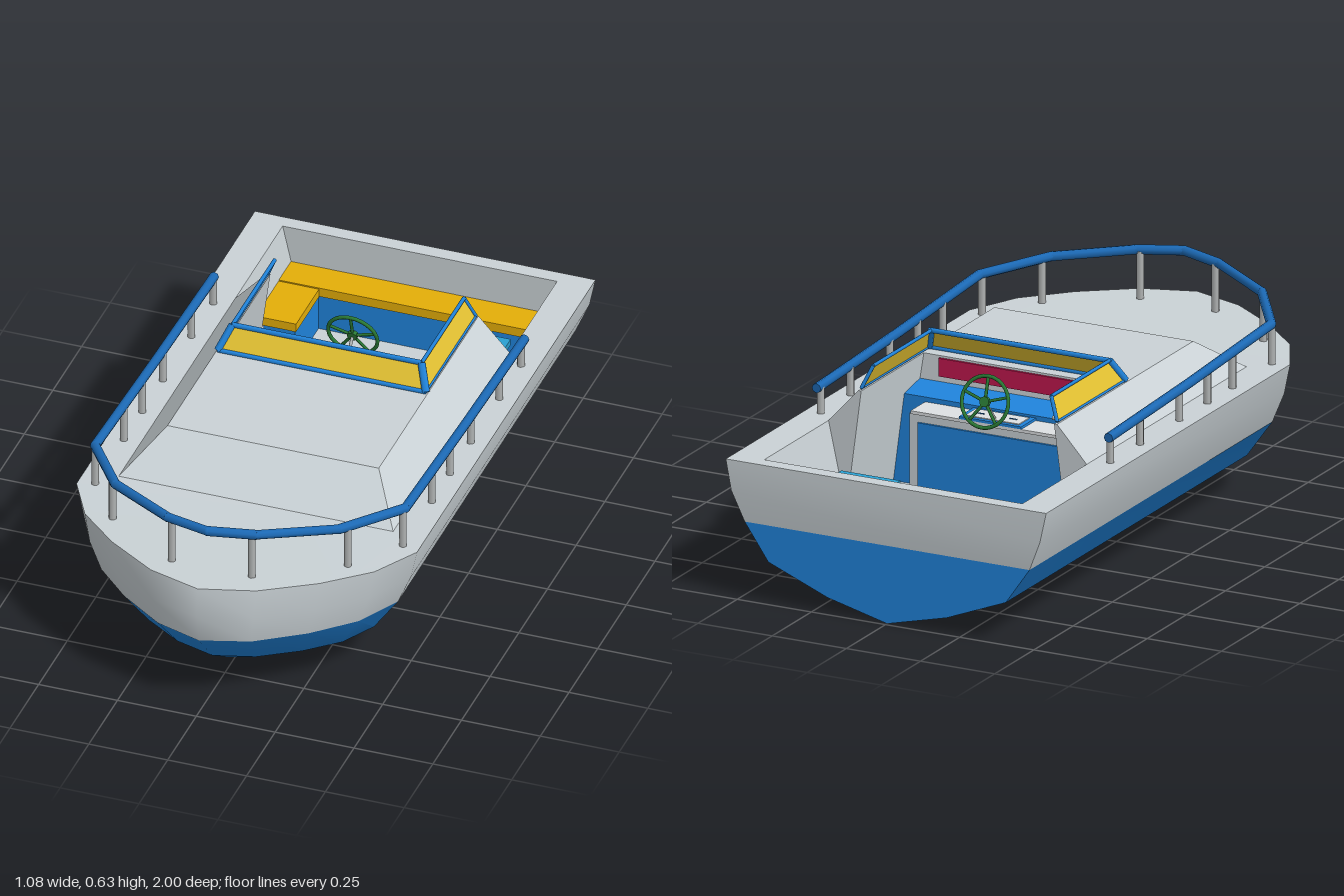
import * as THREE from 'three';
import { toCreasedNormals } from 'three/addons/utils/BufferGeometryUtils.js';

const mat = (name, color, side = THREE.FrontSide) =>
  new THREE.MeshStandardMaterial({ name, color, side });

export function createModel() {
  const D = THREE.DoubleSide;
  const M = {
    gray: mat('hullGray', 0xcad2d6, D),
    blue: mat('hullBlue', 0x2084dc, D),
    rail: mat('railBlue', 0x1c6ab6),
    glass: mat('yellowGlass', 0xe9c634, D),
    seat: mat('seatYellow', 0xe4ae08),
    teal: mat('tealSeat', 0x2aa0d2),
    red: mat('crimson', 0xc0174f),
    green: mat('wheelGreen', 0x2a7a35),
    post: mat('postGray', 0xb0b3b3),
    pale: mat('paleGray', 0xdde1e3),
  };
  const boat = new THREE.Group();
  boat.name = 'motorBoat';
  const add = (name, geo, material, parent = boat) => {
    const m = new THREE.Mesh(geo, material);
    m.name = name;
    parent.add(m);
    return m;
  };
  // Box given by its minimum and maximum corners
  const box = (name, material, [x0, y0, z0], [x1, y1, z1]) =>
    add(name, new THREE.BoxGeometry(x1 - x0, y1 - y0, z1 - z0), material)
      .position.set((x0 + x1) / 2, (y0 + y1) / 2, (z0 + z1) / 2);
  // Flat four-cornered panels
  const panels = (name, material, quads) => {
    const geo = new THREE.BufferGeometry();
    const pos = quads.flatMap(([a, b, c, d]) => [a, b, c, a, c, d].flat());
    geo.setAttribute('position', new THREE.Float32BufferAttribute(pos, 3));
    geo.computeVertexNormals();
    return add(name, geo, material);
  };
  const mirror = q => q.map(([x, y, z]) => [-x, y, z]).reverse();
  const bothSides = quads => [...quads, ...quads.map(mirror)];
  // Round or faceted bar between two points
  const bar = (name, material, a, b, r, sides = 8) => {
    const p = new THREE.Vector3(...a), q = new THREE.Vector3(...b);
    const m = add(name, new THREE.CylinderGeometry(r, r, p.distanceTo(q), sides), material);
    m.position.copy(p).lerp(q, 0.5);
    m.quaternion.setFromUnitVectors(new THREE.Vector3(0, 1, 0), q.sub(p).normalize());
  };

  // Hull levels: height, half width, stern z, end of straight side, bow z, bow rise
  const levels = [
    [0, 0, -0.99, 0.55, 0.56, 0],
    [0.015, 0.06, -0.99, 0.55, 0.65, 0],
    [0.05, 0.2, -0.99, 0.55, 0.74, 0],
    [0.13, 0.4, -0.99, 0.55, 0.86, 0],
    [0.245, 0.48, -0.99, 0.56, 0.98, 0.014],
    [0.34, 0.52, -1, 0.56, 1, 0.015],
    [0.435, 0.54, -0.997, 0.56, 0.99, 0.015],
  ];
  const plan = [[1, 0], [0.85, 0.35], [0.61, 0.63], [0.31, 0.88], [0, 1]];
  const outline = ([y, w, stern, start, bow, rise]) => {
    const half = [[w, y, stern],
      ...plan.map(([fx, fz]) => [w * fx, y + rise * fz, start + (bow - start) * fz])];
    return [...half, ...half.slice(0, -1).reverse().map(([x, b, z]) => [-x, b, z])];
  };
  const loops = levels.map(outline);
  const shell = (name, material, from, to, crease) => {
    const quads = [], stern = [];
    for (let j = from; j < to; j++) {
      const a = loops[j], b = loops[j + 1], n = a.length - 1;
      for (let i = 0; i < n; i++) quads.push([a[i], b[i], b[i + 1], a[i + 1]]);
      stern.push([a[n], b[n], b[0], a[0]]);
    }
    for (const [part, faces] of [['Sides', quads], ['Transom', stern]]) {
      const mesh = panels(name + part, material, faces);
      mesh.geometry = toCreasedNormals(mesh.geometry, crease);
    }
  };
  shell('lowerHull', M.blue, 0, 4, 0.56);
  shell('upperHull', M.gray, 4, 6, 0.9);

  // Deck with the opening for cabin and cockpit
  const deckShape = new THREE.Shape(loops[6].map(([x, , z]) => new THREE.Vector2(x, -z)));
  deckShape.holes.push(new THREE.Path(
    [[-0.435, 0.95], [0.435, 0.95], [0.435, -0.48], [-0.435, -0.48]]
      .map(p => new THREE.Vector2(...p))));
  const deck = new THREE.ShapeGeometry(deckShape).rotateX(-Math.PI / 2);
  const dp = deck.attributes.position;
  for (let i = 0; i < dp.count; i++)
    dp.setY(i, 0.435 + 0.015 * Math.max(0, (dp.getZ(i) - 0.56) / 0.43));
  deck.computeVertexNormals();
  add('deck', deck, M.gray);

  // Raised cabin trunk
  const T = 0.545, B = 0.435, F = 0.165;
  panels('cabinTrunk', M.gray, [
    [[-0.335, T, 0.33], [0.335, T, 0.33], [0.335, T, -0.09], [-0.335, T, -0.09]],
    [[-0.435, B, 0.48], [0.435, B, 0.48], [0.335, T, 0.33], [-0.335, T, 0.33]],
    ...bothSides([
      [[0.435, B, 0.48], [0.435, B, -0.54], [0.335, T, -0.54], [0.335, T, 0.33]],
      [[0.335, T, -0.09], [0.335, T, -0.54], [0.325, T, -0.54], [0.325, T, -0.09]],
      [[0.435, B, -0.54], [0.375, F, -0.54], [0.325, T, -0.54], [0.335, T, -0.54]],
    ]),
  ]);
  // Cockpit floor, inner walls and the panel below the windscreen
  panels('cockpitLining', M.gray, [
    [[-0.375, F, -0.1], [0.375, F, -0.1], [0.375, F, -0.95], [-0.375, F, -0.95]],
    [[0.435, B, -0.95], [-0.435, B, -0.95], [-0.375, F, -0.95], [0.375, F, -0.95]],
    [[-0.33, T, -0.09], [0.33, T, -0.09], [0.33, T, -0.14], [-0.33, T, -0.14]],
    [[-0.33, T, -0.14], [0.33, T, -0.14], [0.34, 0.465, -0.145], [-0.34, 0.465, -0.145]],
    ...bothSides([
      [[0.435, B, -0.95], [0.375, F, -0.95], [0.375, F, -0.54], [0.435, B, -0.54]],
      [[0.325, T, -0.54], [0.375, F, -0.54], [0.375, F, -0.09], [0.325, T, -0.09]],
    ]),
  ]);
  panels('dashboard', M.blue, [
    [[-0.34, 0.465, -0.145], [0.34, 0.465, -0.145], [0.345, 0.445, -0.24], [-0.345, 0.445, -0.24]],
    [[-0.345, 0.445, -0.24], [0.345, 0.445, -0.24], [0.375, F, -0.24], [-0.375, F, -0.24]],
  ]);
  box('dashboardStrip', M.red, [-0.27, 0.483, -0.152], [0.27, 0.54, -0.144]);

  // Windscreen: front pane, two side panes and frame bars
  const lo = [[0.33, 0.55, -0.095], [0.33, 0.55, -0.53]];
  const hi = [[0.3, 0.62, -0.14], [0.3, 0.62, -0.51]];
  const flip = ([x, y, z]) => [-x, y, z];
  panels('windscreenGlass', M.glass, [
    [flip(lo[0]), lo[0], hi[0], flip(hi[0])],
    ...bothSides([[lo[0], lo[1], hi[1], hi[0]]]),
  ]);
  for (const s of [1, -1]) {
    const at = ([x, y, z]) => [s * x, y, z];
    bar('windscreenCornerPost', M.blue, at(lo[0]), at(hi[0]), 0.012, 6);
    bar('windscreenRearPost', M.blue, at(lo[1]), at(hi[1]), 0.006, 6);
    bar('windscreenSideTop', M.blue, at(hi[0]), at(hi[1]), 0.006, 6);
    bar('windscreenSideSill', M.blue, at(lo[0]), at(lo[1]), 0.004, 6);
  }
  bar('windscreenTop', M.blue, hi[0], flip(hi[0]), 0.008, 6);
  bar('windscreenSill', M.blue, lo[0], flip(lo[0]), 0.007, 6);

  // Helm console, its door panel and instruments
  box('helmConsole', M.gray, [-0.275, F, -0.325], [0.275, 0.42, -0.24]);
  box('consoleTop', M.pale, [-0.268, 0.42, -0.333], [0.268, 0.43, -0.24]);
  box('consolePanel', M.blue, [-0.245, 0.195, -0.332], [0.245, 0.395, -0.325]);
  box('instrumentFrame', M.blue, [-0.105, 0.43, -0.333], [0.105, 0.438, -0.24]);
  box('instrumentFace', M.pale, [-0.09, 0.438, -0.32], [0.09, 0.441, -0.253]);
  for (const x of [-0.055, 0.055])
    box('gaugeNeedle', M.rail, [x - 0.012, 0.441, -0.29], [x + 0.012, 0.443, -0.286]);
  box('throttleBase', M.post, [-0.24, 0.43, -0.315], [-0.22, 0.44, -0.265]);
  bar('throttleLever', M.post, [-0.23, 0.435, -0.29], [-0.23, 0.475, -0.31], 0.005);
  bar('throttleGrip', M.post, [-0.26, 0.475, -0.31], [-0.2, 0.475, -0.31], 0.007);

  // Steering wheel
  const wheel = new THREE.Group();
  wheel.name = 'steeringWheel';
  wheel.position.set(0, 0.51, -0.365);
  wheel.rotation.x = 0.28;
  boat.add(wheel);
  add('wheelRim', new THREE.TorusGeometry(0.078, 0.006, 8, 28), M.green, wheel);
  add('wheelHub', new THREE.CylinderGeometry(0.016, 0.016, 0.014, 12).rotateX(Math.PI / 2), M.green, wheel);
  for (let i = 0; i < 5; i++) {
    const spoke = new THREE.CylinderGeometry(0.005, 0.005, 0.075, 6).translate(0, 0.04, 0);
    add('wheelSpoke', spoke.rotateZ(i * Math.PI * 0.4), M.green, wheel);
  }
  bar('steeringColumn', M.post, [0, 0.505, -0.36], [0, 0.435, -0.3], 0.005);

  // Seating: yellow cushions on blue lockers, and the helm seat
  box('sternLocker', M.blue, [-0.385, F, -0.949], [0.385, 0.285, -0.85]);
  box('sternCushion', M.seat, [-0.41, 0.285, -0.949], [0.41, 0.315, -0.843]);
  box('sideLocker', M.blue, [-0.385, F, -0.85], [-0.285, 0.285, -0.645]);
  box('sideCushion', M.seat, [-0.41, 0.285, -0.84], [-0.28, 0.313, -0.64]);
  box('helmSeatCushion', M.teal, [0.15, 0.295, -0.78], [0.35, 0.315, -0.62]);
  box('helmSeatBase', M.teal, [0.19, F, -0.75], [0.31, 0.295, -0.65]);

  // Handrail around the bow, with posts
  const right = [[0.492, 0.518, -0.51], [0.492, 0.536, 0], [0.492, 0.563, 0.53],
    [0.355, 0.582, 0.73], [0.14, 0.597, 0.865], [0, 0.604, 0.905]];
  const rail = [...right, ...right.slice(0, -1).reverse().map(flip)];
  for (let i = 0; i < rail.length - 1; i++)
    bar('handrail', M.rail, rail[i], rail[i + 1], 0.015);
  for (const p of rail.slice(1, -1))
    add('handrailJoint', new THREE.SphereGeometry(0.015, 10, 6), M.rail).position.set(...p);
  const posts = [[0.127, 0.865, 0.595], [0.373, 0.705, 0.58], [0.488, 0.54, 0.563],
    [0.488, 0.29, 0.551], [0.488, 0.13, 0.543], [0.488, -0.05, 0.534],
    [0.488, -0.3, 0.525], [0.488, -0.49, 0.519]];
  for (const s of [1, -1])
    for (const [x, z, top] of posts)
      bar('railPost', M.post, [s * x, 0.43, z], [s * x, top, z], 0.012);
  return boat;
}
